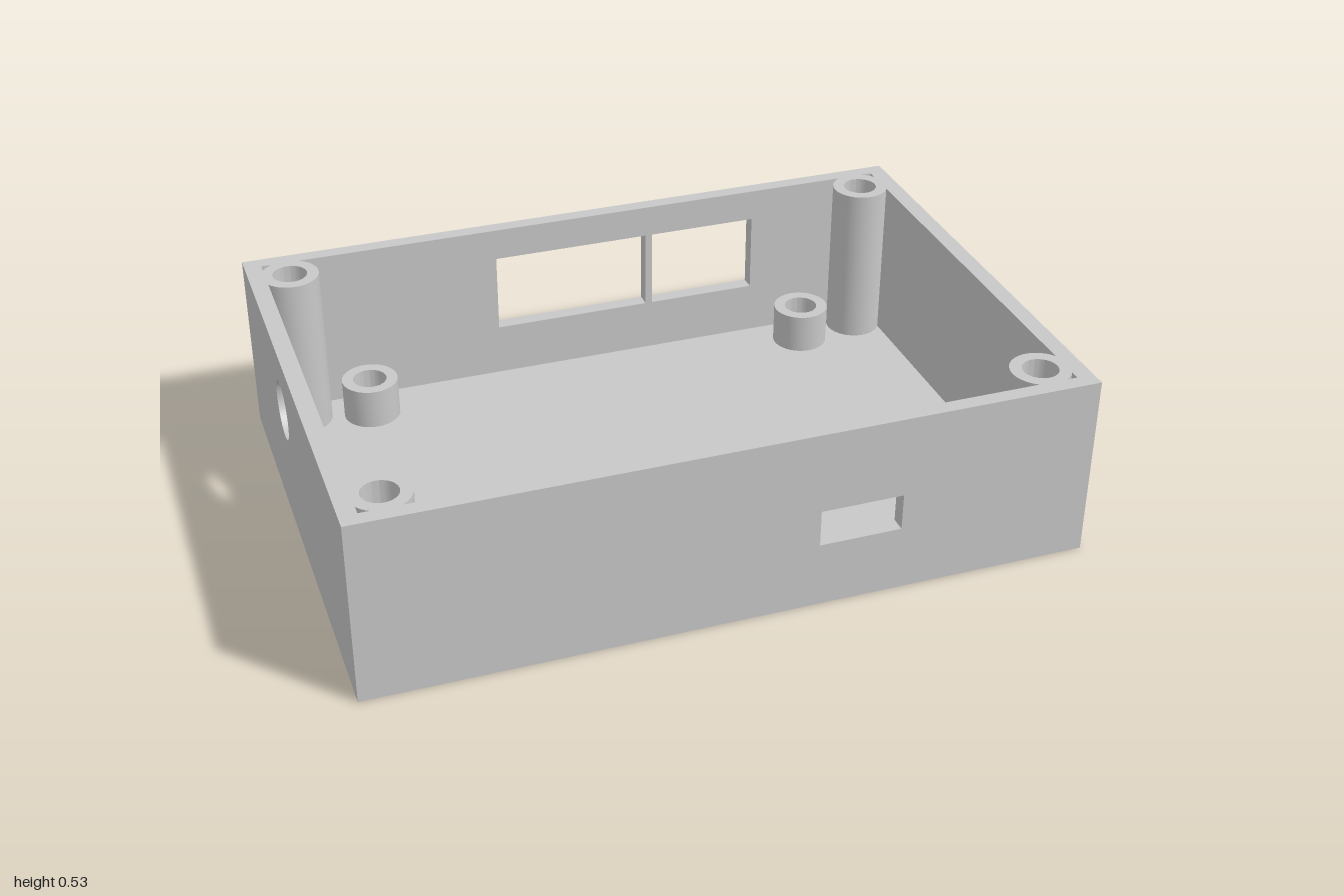
import * as THREE from 'three';
import { toCreasedNormals } from 'three/addons/utils/BufferGeometryUtils.js';

// Outer size, floor and long-wall thickness, side-wall thickness
const W = 2, D = 1.394, H = 0.526, T = 0.043, SIDE = 0.048;

export function createModel() {
  const model = new THREE.Group();
  model.name = 'enclosure';
  const grey = new THREE.MeshStandardMaterial({ name: 'light grey plastic', color: 0xc8c8c8 });

  const add = (name, geometry, x = 0, y = 0, z = 0, turn = 0) => {
    const mesh = new THREE.Mesh(geometry, grey);
    mesh.name = name;
    mesh.position.set(x, y, z);
    mesh.rotation.y = turn;
    model.add(mesh);
  };

  const rect = (P, x0, x1, y0, y1) => {
    const p = new P();
    p.moveTo(x0, y0).lineTo(x1, y0).lineTo(x1, y1).lineTo(x0, y1).closePath();
    return p;
  };
  const circle = (P, x, y, r) => new P().absarc(x, y, r, 0, Math.PI * 2);
  const extrude = (shape, depth) => toCreasedNormals(
    new THREE.ExtrudeGeometry(shape, { depth, bevelEnabled: false, curveSegments: 24 }), 0.6);

  // Upright wall standing on the floor plate, with optional openings
  const wall = (width, thickness, holes = []) => {
    const shape = rect(THREE.Shape, -width / 2, width / 2, T, H);
    shape.holes.push(...holes);
    return extrude(shape, thickness);
  };

  // Floor and four walls
  add('floor', new THREE.BoxGeometry(W, T, D), 0, T / 2, 0);
  add('frontWall', wall(W, T, [rect(THREE.Path, 0.223, 0.453, 0.188, 0.293)]), 0, 0, D / 2 - T);
  add('backWall', wall(W, T, [
    rect(THREE.Path, 0.231, 0.556, 0.198, 0.432),
    rect(THREE.Path, -0.26, 0.21, 0.198, 0.432),
  ]), 0, 0, -D / 2);
  const sideLength = D - 2 * T;
  add('leftWall', wall(sideLength, SIDE), W / 2 - SIDE, 0, 0, Math.PI / 2);
  add('rightWall', wall(sideLength, SIDE, [circle(THREE.Path, 0.143, 0.352, 0.083)]),
    -W / 2, 0, 0, Math.PI / 2);

  // Hollow corner posts and short standoffs, mirrored to all four corners
  const tube = (height) => {
    const shape = circle(THREE.Shape, 0, 0, 0.082);
    shape.holes.push(circle(THREE.Path, 0, 0, 0.049));
    return extrude(shape, height).rotateX(-Math.PI / 2);
  };
  const post = tube(H - T), standoff = tube(0.118);
  for (const sx of [-1, 1]) {
    for (const sz of [-1, 1]) {
      add('cornerPost', post, sx * 0.883, T, sz * 0.582);
      add('boardStandoff', standoff, sx * 0.686, T, sz * 0.547);
    }
  }
  return model;
}
